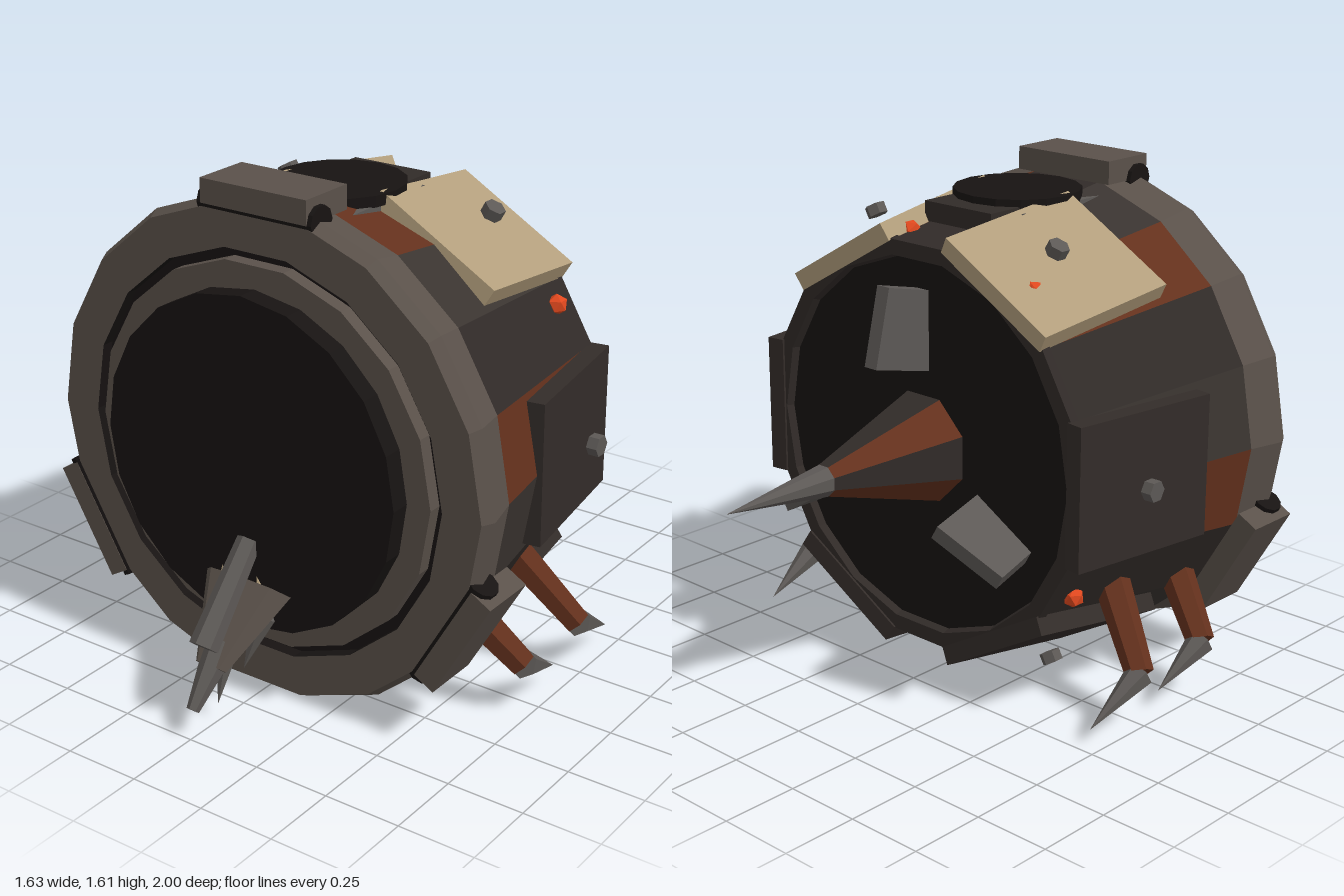
import * as THREE from 'three';

const CY = 0.785; // height of the drum axis
const rad = THREE.MathUtils.degToRad;
const mat = (color) => new THREE.MeshStandardMaterial({ color, flatShading: true, side: THREE.DoubleSide });
const M = {
  rim: mat(0x5a514a), dark: mat(0x312b28), mid: mat(0x3a3430), rust: mat(0x64311d), black: mat(0x171312),
  panel: mat(0x332c29), cream: mat(0xb29e7c), metal: mat(0x5c5855), lamp: mat(0xe0481e),
};

function add(parent, name, geo, material, x = 0, y = 0, z = 0) {
  const m = new THREE.Mesh(geo, material);
  m.name = name;
  m.position.set(x, y, z);
  parent.add(m);
  return m;
}

// Faceted ring around the z axis from [radius, z] points; materials cycle over the sides
function band(parent, name, profile, sides, mats, startDeg = 0) {
  const g = new THREE.Group();
  g.name = name;
  const pts = profile.map(([r, z]) => new THREE.Vector2(r, z));
  const step = (Math.PI * 2) / sides;
  const start = Math.PI / 2 + rad(startDeg);
  const n = mats.length === 1 ? 1 : sides;
  for (let i = 0; i < n; i++) {
    const geo = n === 1
      ? new THREE.LatheGeometry(pts, sides, start)
      : new THREE.LatheGeometry(pts, 1, start + i * step, step);
    add(g, name + 'Side', geo.rotateX(Math.PI / 2), mats[i % mats.length]);
  }
  g.position.y = CY;
  parent.add(g);
}

// Group turned about the drum axis: local x is radial, y is tangential
function around(parent, name, deg) {
  const g = new THREE.Group();
  g.name = name;
  g.position.y = CY;
  g.rotation.z = rad(deg);
  parent.add(g);
  return g;
}

// Tapered prism from a to b
function strut(parent, name, a, b, r0, r1, sides, material) {
  const A = new THREE.Vector3(...a), B = new THREE.Vector3(...b);
  const d = B.clone().sub(A);
  const m = add(parent, name, new THREE.CylinderGeometry(r1, r0, d.length(), sides), material);
  m.position.copy(A).add(B).multiplyScalar(0.5);
  m.quaternion.setFromUnitVectors(new THREE.Vector3(0, 1, 0), d.normalize());
  return m;
}

export function createModel() {
  const root = new THREE.Group();
  root.name = 'drumMachine';

  // Drum shell, front rim and back opening
  band(root, 'shell', [[0.655, -0.21], [0.765, 0.48]], 18, [M.rust, M.dark, M.mid]);
  band(root, 'frontRim', [[0.765, 0.48], [0.795, 0.6], [0.775, 0.64], [0.645, 0.64]], 18, [M.rim]);
  band(root, 'groove', [[0.645, 0.64], [0.645, 0.6], [0.6, 0.6]], 18, [M.black]);
  band(root, 'innerRing', [[0.61, 0.6], [0.61, 0.645], [0.5, 0.645]], 18, [M.rim]);
  band(root, 'frontPlate', [[0.53, 0.6], [0.53, 0.71], [0, 0.71]], 20, [M.black]);
  band(root, 'backRim', [[0.6, -0.19], [0.61, -0.22], [0.66, -0.22], [0.665, -0.19]], 18, [M.dark]);
  band(root, 'backPlate', [[0.61, -0.195], [0, -0.195]], 18, [M.black]);

  // Tail cone with striped sides and a spike
  band(root, 'tailCone', [[0.05, -0.62], [0.18, -0.195]], 8, [M.dark, M.rust], -22.5);
  band(root, 'tailSpike', [[0, -1], [0.05, -0.62]], 8, [M.metal], -22.5);

  // Bolted armour panels
  for (let a = 0; a < 360; a += 60) {
    const g = around(root, 'armourPanel', a);
    const cream = a === 60 || a === 120;
    const p = add(g, 'plate', new THREE.BoxGeometry(0.06, 0.455, 0.515), cream ? M.cream : M.panel, 0.681, 0, 0.022);
    p.rotation.y = 0.15;
    const b = add(g, 'bolt', new THREE.CylinderGeometry(0.034, 0.034, 0.035, 6), M.metal, 0.765, 0, -0.015);
    b.rotation.z = Math.PI / 2;
  }

  // Lamps around the back of the shell
  for (let i = 0; i < 8; i++) {
    add(around(root, 'lamp', 34 + i * 45), 'lampBulb', new THREE.IcosahedronGeometry(0.034, 0), M.lamp, 0.668, 0, -0.115);
  }

  // Rim clamps with hinge pins, and back fins
  for (const a of [90, 210, 330]) {
    const c = around(root, 'rimClamp', a);
    add(c, 'clampBlock', new THREE.BoxGeometry(0.075, 0.38, 0.19), M.rim, 0.7915, 0, 0.55);
    add(c, 'hingePin', new THREE.CylinderGeometry(0.05, 0.05, 0.41, 10), M.black, 0.755, 0, 0.594);
    const f = around(root, 'backFin', a);
    add(f, 'fin', new THREE.BoxGeometry(0.25, 0.05, 0.26), M.metal, 0.395, 0, -0.265).rotation.y = -0.235;
  }

  // Top hatch
  const hatch = new THREE.Group();
  hatch.name = 'topHatch';
  root.add(hatch);
  add(hatch, 'hatchLid', new THREE.CylinderGeometry(0.205, 0.205, 0.035, 16), M.black, 0, 1.525, 0.235);
  add(hatch, 'hatchCollar', new THREE.CylinderGeometry(0.16, 0.18, 0.08, 12), M.dark, 0, 1.47, 0.235);
  add(hatch, 'hatchHinge', new THREE.BoxGeometry(0.28, 0.08, 0.14), M.dark, 0, 1.48, 0.03);
  for (const s of [-1, 1]) {
    add(hatch, 'hatchRail', new THREE.BoxGeometry(0.045, 0.07, 0.36), M.metal, s * 0.16, 1.475, 0.235);
  }

  // Clawed legs, two on each side
  for (const s of [-1, 1]) {
    const legs = [
      [[0.55, 0.37, 0.385], [0.725, 0.175, 0.31], [0.715, 0.07, 0.11]],
      [[0.54, 0.41, 0.08], [0.73, 0.175, -0.005], [0.715, 0.06, -0.22]],
    ];
    for (const leg of legs) {
      const [hip, knee, tip] = leg.map(([x, y, z]) => [x * s, y, z]);
      const g = new THREE.Group();
      g.name = 'leg';
      root.add(g);
      strut(g, 'legLimb', hip, knee, 0.058, 0.045, 6, M.rust);
      strut(g, 'legClaw', knee, tip, 0.046, 0, 6, M.metal);
    }
  }

  // Front beak: flattened cone with a claw, upper limb and small spikes
  const beak = new THREE.Group();
  beak.name = 'frontBeak';
  root.add(beak);
  strut(beak, 'beakCone', [0, 0.40, 0.71], [0, 0.2, 0.895], 0.16, 0.058, 8, M.rim).scale.z = 0.45;
  strut(beak, 'beakClaw', [0, 0.26, 0.84], [0, 0.095, 0.985], 0.052, 0.02, 6, M.metal);
  strut(beak, 'beakLimb', [0, 0.54, 0.7], [0, 0.28, 0.925], 0.038, 0.046, 6, M.metal);
  strut(beak, 'beakSpike', [0, 0.25, 0.81], [0, 0.06, 0.87], 0.04, 0, 5, M.metal);
  for (const s of [-1, 1]) {
    strut(beak, 'sideSpike', [s * 0.07, 0.32, 0.73], [s * 0.03, 0.15, 0.78], 0.04, 0, 5, M.metal);
    strut(beak, 'tooth', [s * 0.075, 0.38, 0.74], [s * 0.065, 0.46, 0.75], 0.02, 0, 5, M.cream);
  }
  return root;
}
